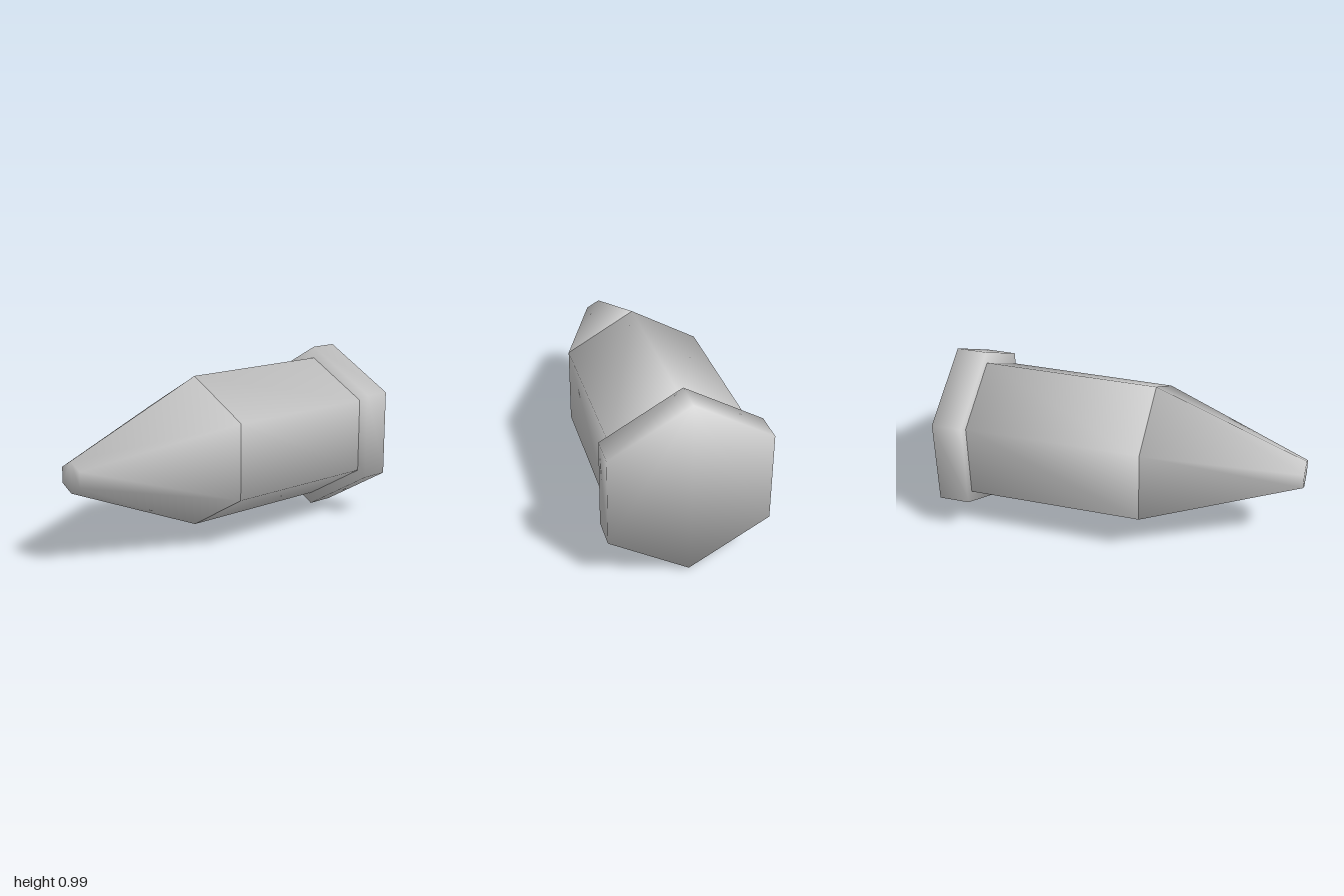
import * as THREE from 'three';

const SIDES = 6;
const CENTER_Y = 0.4925;

// Closed hexagonal frustum along z whose normals are blended over every edge,
// each adjoining face weighted by its corner angle.
function softFrustum(backR, backZ, frontR, frontZ) {
  const rise = (backR - frontR) * Math.cos(Math.PI / SIDES);
  const length = frontZ - backZ;
  const slant = Math.hypot(rise, length);
  const capAngle = Math.PI * (1 - 2 / SIDES);
  const backAngle = Math.atan2(slant, (backR - frontR) / 2);
  const positions = [], normals = [], index = [];

  const ring = (r, z, sideAngle, capSign) => {
    const radial = 2 * sideAngle * (length / slant) * Math.cos(Math.PI / SIDES);
    const axial = 2 * sideAngle * (rise / slant) + capSign * capAngle;
    const size = Math.hypot(radial, axial);
    for (let i = 0; i < SIDES; i++) {
      const a = Math.PI / 2 + (i / SIDES) * Math.PI * 2;
      positions.push(r * Math.cos(a), r * Math.sin(a), z);
      normals.push(radial * Math.cos(a) / size, radial * Math.sin(a) / size, axial / size);
    }
  };
  ring(backR, backZ, backAngle, -1);
  ring(frontR, frontZ, Math.PI - backAngle, 1);

  // Side walls
  for (let i = 0; i < SIDES; i++) {
    const j = (i + 1) % SIDES;
    index.push(i, j, SIDES + j, i, SIDES + j, SIDES + i);
  }
  // End caps
  for (let i = 1; i < SIDES - 1; i++) {
    index.push(0, i + 1, i, SIDES, SIDES + i, SIDES + i + 1);
  }

  const geometry = new THREE.BufferGeometry();
  geometry.setAttribute('position', new THREE.Float32BufferAttribute(positions, 3));
  geometry.setAttribute('normal', new THREE.Float32BufferAttribute(normals, 3));
  geometry.setIndex(index);
  return geometry;
}

export function createModel() {
  const model = new THREE.Group();
  model.name = 'hexagonalBullet';
  const grey = new THREE.MeshStandardMaterial({ color: 0xcccccc });
  grey.name = 'lightGrey';

  const add = (name, ...dims) => {
    const mesh = new THREE.Mesh(softFrustum(...dims), grey);
    mesh.name = name;
    mesh.position.y = CENTER_Y;
    model.add(mesh);
  };

  add('rearCollar', 0.4925, -1, 0.4925, -0.83);
  add('body', 0.425, -0.83, 0.425, 0.15);
  add('taperedNose', 0.425, 0.15, 0.085, 1);
  return model;
}
